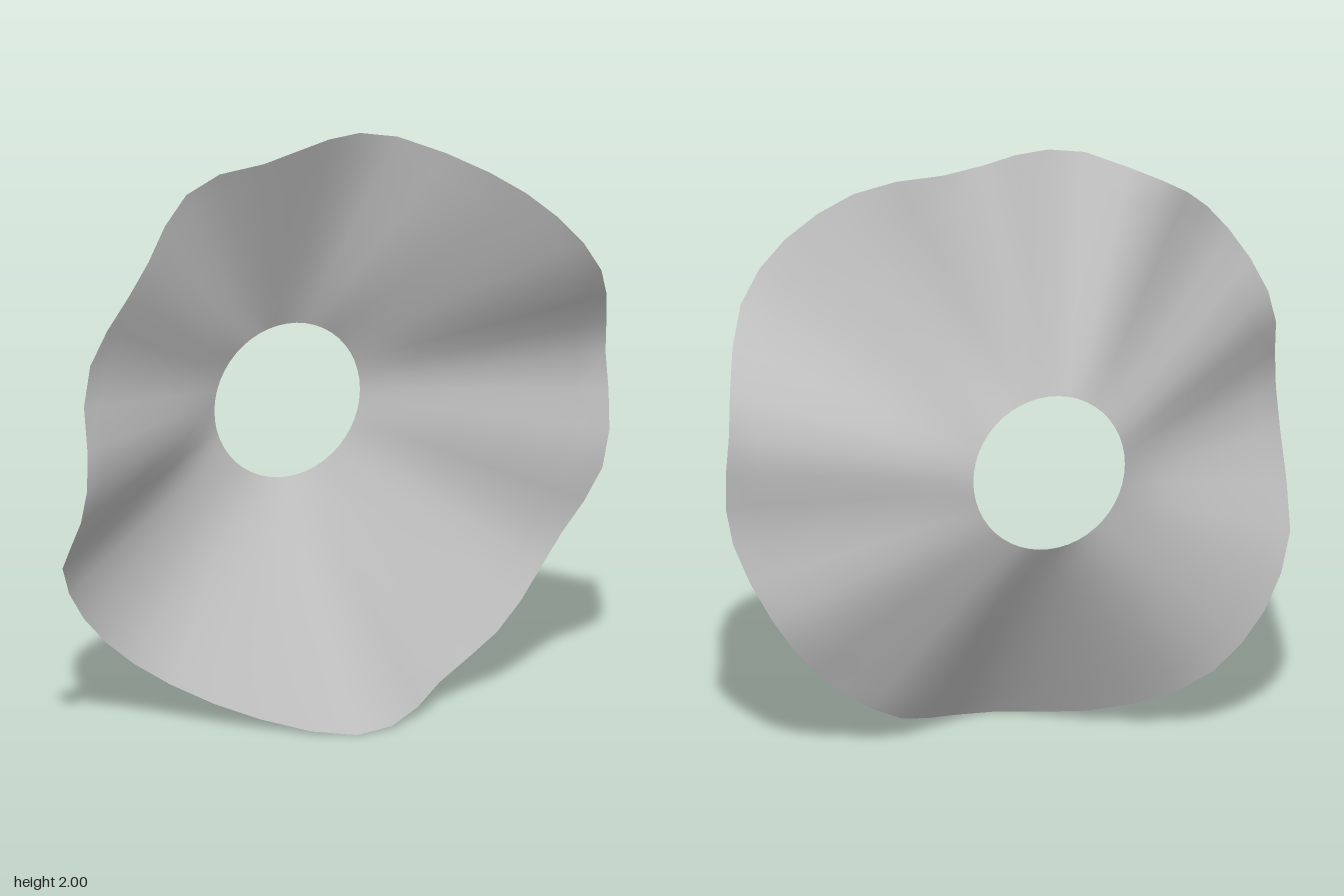
import * as THREE from 'three';

// Depth of the rippled outer rim, every 7.5 degrees from +x towards +y
const RIM = [
  0.055, 0.05, 0.11, 0.2, 0.28, 0.3, 0.285, 0.25, 0.2, 0.11, 0, -0.02,
  0.02, 0.06, 0.065, -0.015, -0.025, 0.04, 0.12, 0.15, 0.14, 0.13, 0.17, 0.25,
  0.265, 0.2, 0.07, -0.08, -0.15, -0.19, -0.205, -0.2, -0.15, -0.06, 0.04, 0.155,
  0.23, 0.22, 0.15, 0.06, 0.03, 0.025, 0, -0.025, -0.02, 0.03, 0.08, 0.08,
];
const INNER_RADIUS = 0.265, OUTER_RADIUS = 1, INNER_Z = -0.3, RINGS = 8;

export function createModel() {
  const group = new THREE.Group();
  group.name = 'ruffledDisc';
  const grey = new THREE.MeshStandardMaterial({ color: 0xbfbfbf, side: THREE.DoubleSide });
  grey.name = 'grey';

  // Straight spokes run from the flat inner hole to the rippled rim
  const n = RIM.length;
  const positions = [], indices = [];
  for (let r = 0; r <= RINGS; r++) {
    const t = r / RINGS;
    const radius = THREE.MathUtils.lerp(INNER_RADIUS, OUTER_RADIUS, t);
    for (let i = 0; i < n; i++) {
      const a = (i / n) * Math.PI * 2;
      positions.push(
        radius * Math.cos(a),
        1 + radius * Math.sin(a),
        THREE.MathUtils.lerp(INNER_Z, RIM[i], t),
      );
    }
  }
  for (let r = 0; r < RINGS; r++) {
    for (let i = 0; i < n; i++) {
      const j = (i + 1) % n;
      const a = r * n + i, b = r * n + j, c = a + n, d = b + n;
      indices.push(a, c, d, a, d, b);
    }
  }
  const geometry = new THREE.BufferGeometry();
  geometry.setAttribute('position', new THREE.Float32BufferAttribute(positions, 3));
  geometry.setIndex(indices);
  geometry.computeVertexNormals();

  const sheet = new THREE.Mesh(geometry, grey);
  sheet.name = 'ruffledSheet';
  group.add(sheet);
  return group;
}
